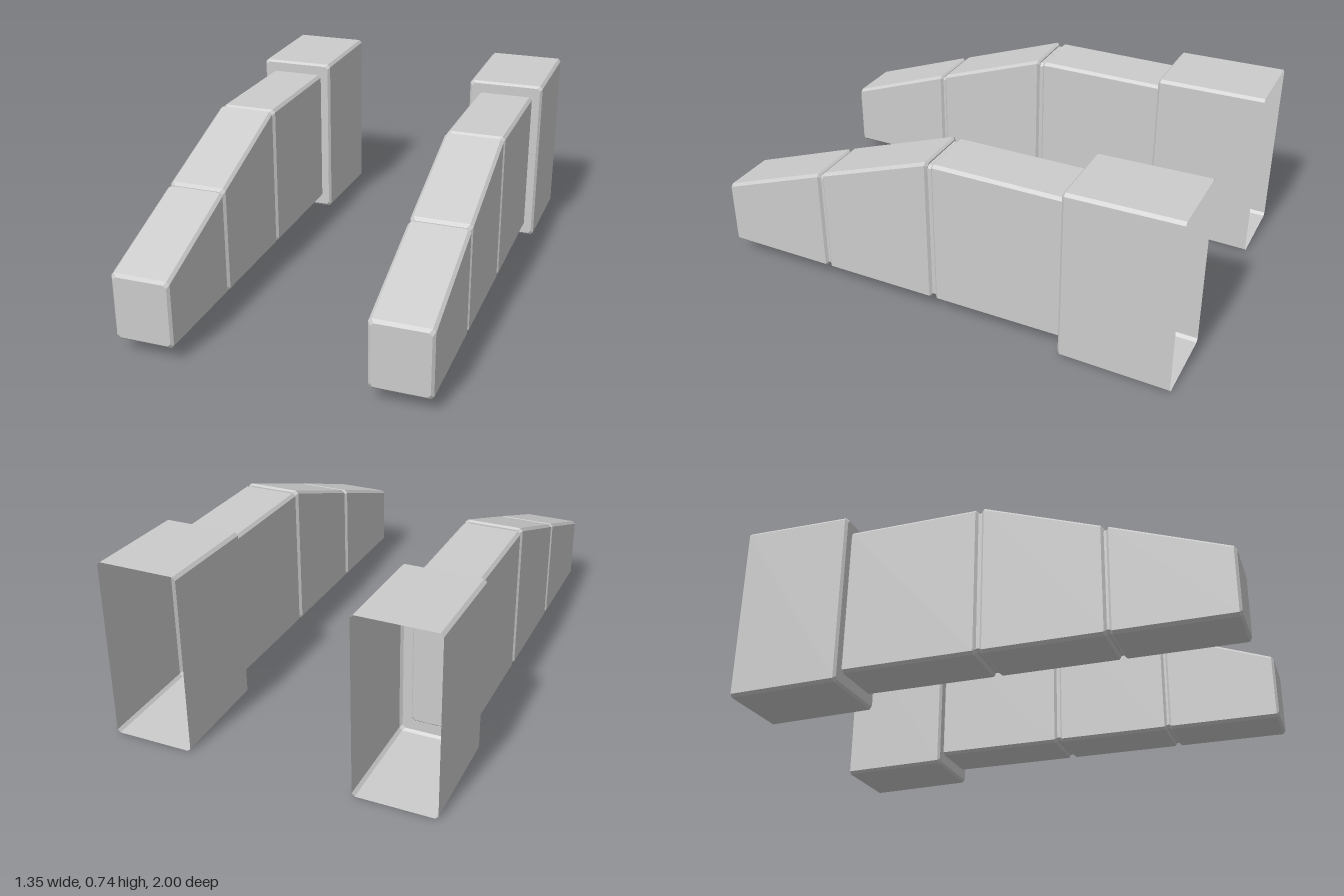
import * as THREE from 'three';

const material = new THREE.MeshStandardMaterial({ color: 0xcccccc, flatShading: true, side: THREE.DoubleSide });

// Rectangle with cut corners, counter-clockwise seen from +z
function section([z, halfWidth, bottom, top], cut) {
  const w = halfWidth, c = cut;
  return [
    [w - c, bottom], [w, bottom + c], [w, top - c], [w - c, top],
    [c - w, top], [-w, top - c], [-w, bottom + c], [c - w, bottom],
  ].map(([x, y]) => [x, y, z]);
}

// Skins sections [z, halfWidth, bottom, top] ordered from back to front
function loft(name, sections, cut, capBack = true, capFront = true) {
  const rings = sections.map((s) => section(s, cut));
  const positions = [];
  const tri = (a, b, c) => positions.push(...a, ...b, ...c);
  for (let i = 0; i + 1 < rings.length; i++) {
    for (let j = 0; j < 8; j++) {
      const k = (j + 1) % 8;
      const [a, b, c, d] = [rings[i][j], rings[i][k], rings[i + 1][k], rings[i + 1][j]];
      tri(a, b, c);
      tri(a, c, d);
    }
  }
  const back = rings[0], front = rings[rings.length - 1];
  for (let j = 1; j < 7; j++) {
    if (capBack) tri(back[0], back[j + 1], back[j]);
    if (capFront) tri(front[0], front[j], front[j + 1]);
  }
  const geometry = new THREE.BufferGeometry();
  geometry.setAttribute('position', new THREE.Float32BufferAttribute(positions, 3));
  geometry.computeVertexNormals();
  const mesh = new THREE.Mesh(geometry, material);
  mesh.name = name;
  return mesh;
}

// Block with bevelled ends and a straight, possibly sloping top
function block(name, zBack, zFront, topBack, topFront) {
  const w = 0.122, low = 0.058, e = 0.01;
  const slope = (topFront - topBack) / (zFront - zBack);
  return loft(name, [
    [zBack, w - e, low + e, topBack - e],
    [zBack + e, w, low, topBack + slope * e],
    [zFront - e, w, low, topFront - slope * e],
    [zFront, w - e, low + e, topFront - e],
  ], 0.012);
}

function createArm(name, x) {
  const arm = new THREE.Group();
  arm.name = name;
  // Open-backed sleeve, flaring slightly toward the back
  arm.add(loft('sleeve', [
    [-1, 0.167, 0, 0.743],
    [-0.555, 0.165, 0.008, 0.736],
    [-0.545, 0.155, 0.018, 0.726],
  ], 0.012, false, true));
  // Three arm segments
  arm.add(block('upperSegment', -0.55, 0.01, 0.685, 0.685));
  arm.add(block('middleSegment', 0.025, 0.515, 0.69, 0.513));
  arm.add(block('frontSegment', 0.525, 1, 0.51, 0.335));
  // Recessed joints in the gaps
  arm.add(loft('rearJoint', [[0, 0.112, 0.068, 0.674], [0.035, 0.112, 0.068, 0.674]], 0.012));
  arm.add(loft('frontJoint', [[0.505, 0.112, 0.068, 0.503], [0.535, 0.112, 0.068, 0.495]], 0.012));
  arm.position.x = x;
  return arm;
}

export function createModel() {
  const model = new THREE.Group();
  model.name = 'armPair';
  model.add(createArm('leftArm', 0.507), createArm('rightArm', -0.507));
  return model;
}
